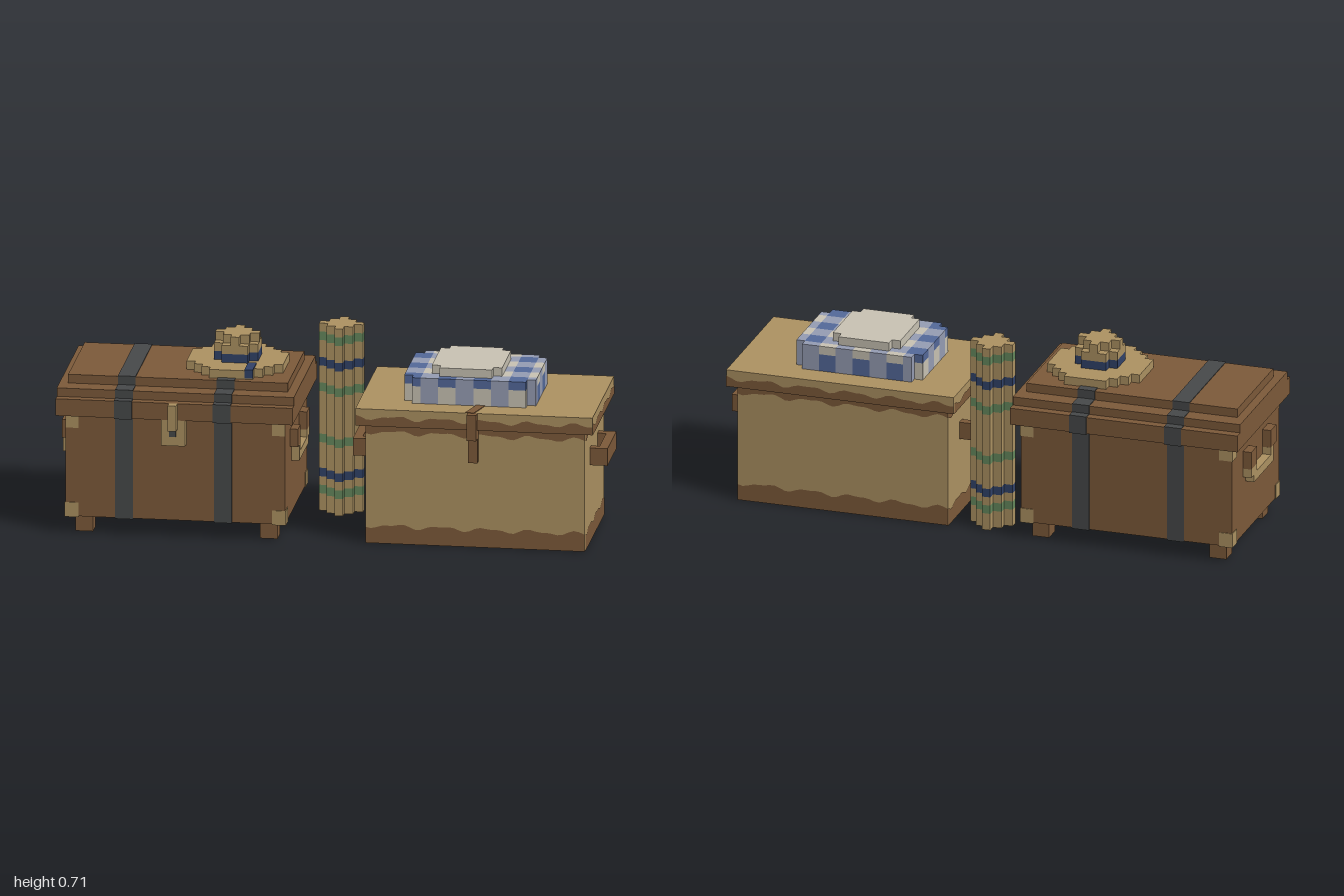
import * as THREE from 'three';
import { mergeGeometries } from 'three/addons/utils/BufferGeometryUtils.js';

const V = 2 / 62; // one block unit
const palette = {
  brown: 0x7d5a3a, tan: 0xad9262, strapGrey: 0x47494a, green: 0x65895d,
  navy: 0x314269, blue: 0x54699a, paleBlue: 0x969db4, cream: 0xc9c3b4,
};

export function createModel() {
  const model = new THREE.Group();
  const mats = {};
  for (const [name, color] of Object.entries(palette)) {
    mats[name] = new THREE.MeshStandardMaterial({ color });
    mats[name].name = name;
  }

  const boxGeo = (x0, x1, y0, y1, z0, z1) =>
    new THREE.BoxGeometry(x1 - x0, y1 - y0, z1 - z0)
      .translate((x0 + x1) / 2, (y0 + y1) / 2, (z0 + z1) / 2);
  const add = (parent, name, mat, geo) => {
    const mesh = new THREE.Mesh(geo, mats[mat]);
    mesh.name = name;
    parent.add(mesh);
    return mesh;
  };
  const box = (parent, name, mat, ...b) => add(parent, name, mat, boxGeo(...b));
  const group = (name) => {
    const g = new THREE.Group();
    g.name = name;
    model.add(g);
    return g;
  };
  // Stepped disc: a list of row widths in block units, extruded upward
  const stepped = (rows, cx, cz, y0, y1) => {
    const pts = [];
    const n = rows.length;
    rows.forEach((w, i) => pts.push([w / 2, i - n / 2], [w / 2, i + 1 - n / 2]));
    const outline = pts.concat(pts.map(([x, z]) => [-x, z]).reverse());
    const shape = new THREE.Shape(outline
      .filter(([x, z], i) => !i || x !== outline[i - 1][0] || z !== outline[i - 1][1])
      .map(([x, z]) => new THREE.Vector2(x * V, z * V)));
    return new THREE.ExtrudeGeometry(shape, { depth: y1 - y0, bevelEnabled: false })
      .rotateX(-Math.PI / 2).translate(cx, y0, cz);
  };

  // ---- Dark trunk ----
  const trunk = group('brownTrunk');
  const tiers = [
    ['trunkBody', -0.968, -0.161, 0.065, 0.452, -0.29, 0.258],
    ['lidRim', -1, -0.129, 0.452, 0.516, -0.323, 0.29],
    ['lidStep', -1, -0.129, 0.516, 0.548, -0.29, 0.258],
    ['lidTop', -0.968, -0.161, 0.548, 0.581, -0.226, 0.19],
  ];
  const e = 0.003;
  for (const [name, ...b] of tiers) {
    box(trunk, name, 'brown', ...b);
    // Straps wrap every tier
    for (const x of [-0.785, -0.422])
      box(trunk, 'strap', 'strapGrey', x, x + 0.065, b[2] - e, b[3] + e, b[4] - e, b[5] + e);
  }
  for (const x of [-0.936, -0.258])
    for (const z of [-0.258, 0.161])
      box(trunk, 'foot', 'brown', x, x + 2 * V, 0, 0.065, z, z + 2 * V);
  // Corner caps
  for (const left of [0, 1])
    for (const back of [0, 1]) {
      const x0 = left ? -0.161 - 0.048 : -0.968 - e;
      const x1 = left ? -0.161 + e : -0.968 + 0.048;
      const z0 = back ? -0.29 - e : 0.258 - 0.048;
      const z1 = back ? -0.29 + 0.048 : 0.258 + e;
      box(trunk, 'lowerCornerCap', 'tan', x0, x1, 0.065 - e, 0.117, z0, z1);
      if (back) box(trunk, 'upperCornerCap', 'tan', x0, x1, 0.4, 0.452, z0, z1);
      else box(trunk, 'upperCornerCap', 'tan', left ? x0 : -0.968, left ? -0.161 : x1, 0.4, 0.452, 0.258, z1);
    }
  // Lock
  box(trunk, 'lockPlate', 'tan', -0.613, -0.524, 0.355, 0.452, 0.258, 0.29);
  box(trunk, 'keyhole', 'strapGrey', -0.582, -0.558, 0.39, 0.432, 0.288, 0.293);
  box(trunk, 'lockHasp', 'tan', -0.584, -0.552, 0.42, 0.516, 0.29, 0.323);
  // Hanging end handles
  for (const x of [-1, -0.164]) {
    for (const [za, zb] of [[-0.161, -0.129], [0.065, 0.097]]) {
      box(trunk, 'handleMount', 'brown', x, x + 0.032, 0.323, 0.39, za, za + 2 * V);
      box(trunk, 'handleSide', 'tan', x, x + 0.032, 0.29, 0.323, zb - V, zb + (zb < 0 ? V : 0));
    }
    box(trunk, 'handleGrip', 'tan', x, x + 0.032, 0.262, 0.295, -0.129, 0.097);
  }

  // ---- Straw hat ----
  const hat = group('strawHat');
  const hx = -0.374, hz = -0.016, round = [3, 5, 5, 5, 3];
  add(hat, 'brim', 'tan', stepped([5, 7, 9, 11, 11, 11, 11, 11, 9, 7, 5], hx, hz, 0.581, 0.613));
  add(hat, 'hatBand', 'navy', stepped(round, hx, hz, 0.613, 0.645));
  add(hat, 'crown', 'tan', stepped(round, hx, hz, 0.645, 0.677));
  add(hat, 'crownTop', 'tan', stepped([1, 3, 5, 3, 1], hx, hz, 0.677, 0.71));
  box(hat, 'ribbonTail', 'navy', -0.325, -0.294, 0.585, 0.617, 0.065, 0.162);

  // ---- Rolled rug ----
  const rug = group('rolledRug');
  const bands = { 2: 'green', 4: 'navy', 8: 'green', 14: 'green', 17: 'navy', 20: 'green' };
  for (let y = 0, start = 0; y < 22; y++) {
    if (bands[y] === bands[y + 1] && y < 21) continue;
    add(rug, 'rugSection', bands[y] || 'tan',
      stepped([1, 3, 5, 3, 1], -0.016, -0.177, start * V, (y + 1) * V));
    start = y + 1;
  }

  // ---- Pale chest ----
  const chest = group('tanChest');
  box(chest, 'chestBody', 'tan', 0.129, 0.935, 0, 0.452, -0.258, 0.226);
  box(chest, 'chestLid', 'tan', 0.097, 0.968, 0.455, 0.516, -0.29, 0.258);
  box(chest, 'lidUnderside', 'brown', 0.097, 0.968, 0.452, 0.455, -0.29, 0.258);
  box(chest, 'chestBottom', 'brown', 0.129, 0.935, -0.0005, 0.003, -0.258, 0.226);

  // Painted trim with a wavy edge, laid on all four sides of a box
  const wave = (t) => 0.007 * Math.sin(t * 38) + 0.004 * Math.sin(t * 71 + 1);
  const wavyTrim = (name, x0, x1, z0, z1, flatY, wavyY) => {
    const face = (len) => {
      const s = new THREE.Shape();
      s.moveTo(-len / 2, flatY);
      s.lineTo(len / 2, flatY);
      const n = Math.round(len / 0.02);
      for (let i = n; i >= 0; i--) {
        const u = -len / 2 + (len * i) / n;
        s.lineTo(u, wavyY + wave(u));
      }
      return new THREE.ShapeGeometry(s);
    };
    const cx = (x0 + x1) / 2, cz = (z0 + z1) / 2, dx = x1 - x0, dz = z1 - z0;
    const parts = [0, 1, 2, 3].map((k) => face(k % 2 ? dz : dx)
      .translate(0, 0, (k % 2 ? dx : dz) / 2 + 0.002)
      .rotateY((k * Math.PI) / 2).translate(cx, 0, cz));
    add(chest, name, 'brown', mergeGeometries(parts));
  };
  wavyTrim('bottomTrim', 0.129, 0.935, -0.258, 0.226, 0, 0.066);
  wavyTrim('upperTrim', 0.129, 0.935, -0.258, 0.226, 0.452, 0.421);
  wavyTrim('lidTrim', 0.097, 0.968, -0.29, 0.258, 0.452, 0.485);

  // Clasp and its leather strip across the lid
  box(chest, 'claspStrap', 'brown', 0.51, 0.545, 0.42, 0.517, 0.258, 0.29);
  box(chest, 'claspTongue', 'brown', 0.51, 0.545, 0.355, 0.452, 0.226, 0.258);
  box(chest, 'claspToggle', 'brown', 0.51, 0.545, 0.327, 0.365, 0.226, 0.258);
  const strip = box(chest, 'leatherStrip', 'brown', -0.016, 0.016, 0, 0.004, -0.056, 0.056);
  strip.position.set(0.531, 0.515, 0.206);
  strip.rotation.y = -0.25;
  // Bracket handles
  for (const s of [-1, 1]) {
    const at = (name, d0, d1, z0, z1) => {
      const a = 0.532 + s * d0, b = 0.532 + s * d1;
      box(chest, name, 'brown', Math.min(a, b), Math.max(a, b), 0.29, 0.355, z0, z1);
    };
    at('handleGrip', 0.435, 0.468, -0.129, 0.097);
    at('handlePost', 0.403, 0.435, -0.129, -0.097);
    at('handlePost', 0.403, 0.435, 0.065, 0.097);
  }

  // ---- Folded checked cloth ----
  const cloth = group('foldedCloth');
  const cells = { blue: [], paleBlue: [], cream: [] };
  for (let i = 0; i < 15; i++)
    for (let j = 0; j < 11; j++) {
      if ((i === 0 || i === 14) && (j === 0 || j === 10)) continue;
      const a = (i >> 1) & 1, b = (j >> 1) & 1;
      const x = 0.258 + i * V, z = 0.161 - j * V;
      const top = a !== b ? 'paleBlue' : a ? 'cream' : 'blue';
      const low = a !== b ? 'paleBlue' : a ? 'blue' : 'cream';
      cells[low].push(boxGeo(x, x + V, 0.516, 0.581, z - V, z));
      cells[top].push(boxGeo(x, x + V, 0.581, 0.613, z - V, z));
    }
  for (const [name, geos] of Object.entries(cells))
    add(cloth, name + 'Checks', name, mergeGeometries(geos));
  add(cloth, 'foldedNapkin', 'cream', stepped([6, 8, 8, 8, 8, 8, 8, 8, 6], 0.484, -0.016, 0.613, 0.645));

  return model;
}
